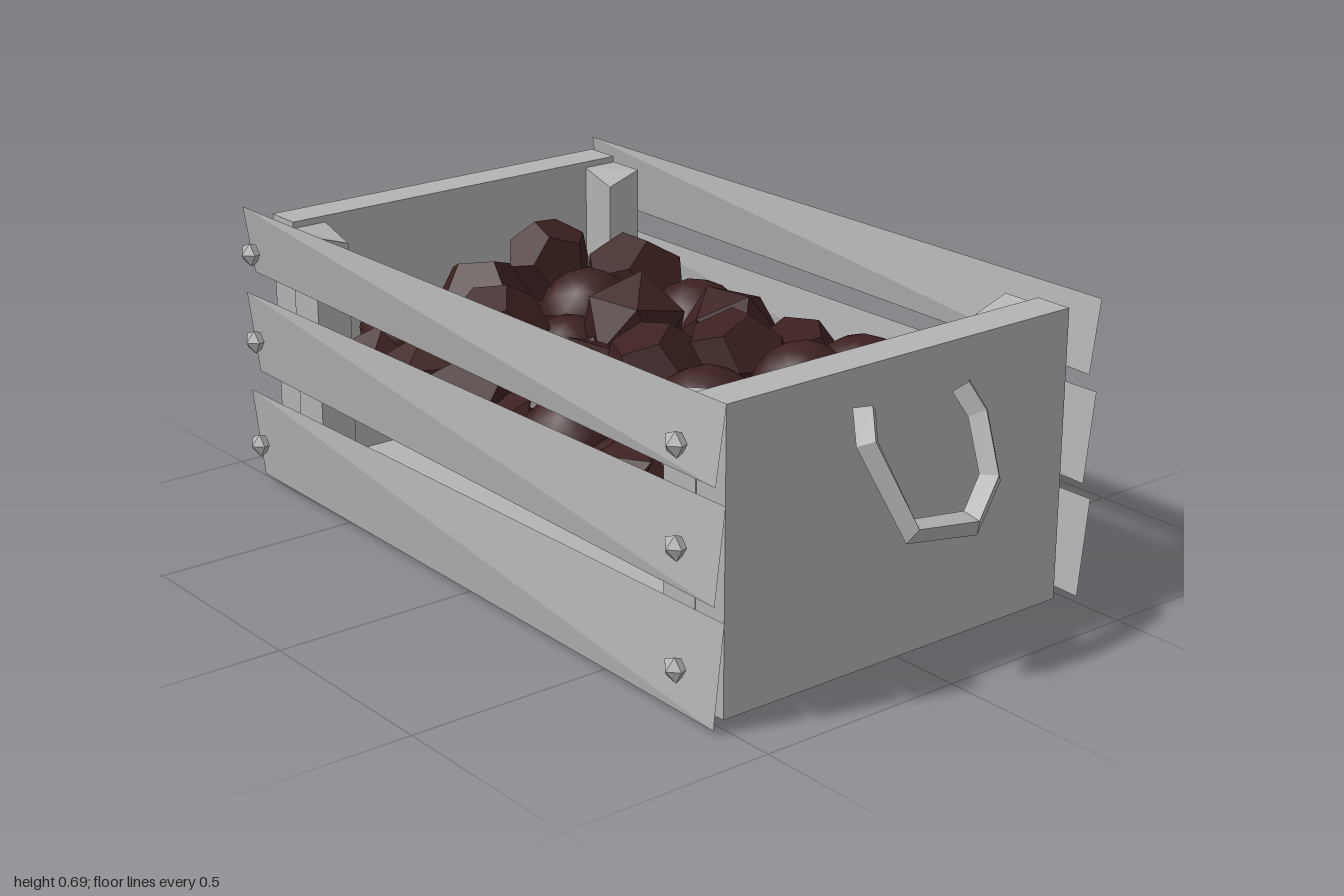
import * as THREE from 'three';

const grey = new THREE.MeshStandardMaterial({ color: 0xb3b3b3 });
grey.name = 'greyWood';
const brown = new THREE.MeshStandardMaterial({ color: 0x3d2020 });
brown.name = 'darkBrown';

// Give every face its own normal
function faceted(geometry) {
  const g = geometry.index ? geometry.toNonIndexed() : geometry;
  g.computeVertexNormals();
  return g;
}

// Move the corners of a geometry by a rule
function reshape(geometry, rule) {
  const p = geometry.attributes.position;
  const v = new THREE.Vector3();
  for (let i = 0; i < p.count; i++) {
    rule(v.fromBufferAttribute(p, i));
    p.setXYZ(i, v.x, v.y, v.z);
  }
  return faceted(geometry);
}

function add(parent, name, geometry, material, x = 0, y = 0, z = 0) {
  const mesh = new THREE.Mesh(geometry, material);
  mesh.name = name;
  mesh.position.set(x, y, z);
  parent.add(mesh);
  return mesh;
}

// Wedge-cut board: ridge from top left to bottom right in front, crossing ridge behind
function slatGeometry(width, height, depth) {
  const [w, h, d] = [width / 2, height / 2, depth / 2];
  const g = new THREE.BufferGeometry();
  g.setAttribute('position', new THREE.Float32BufferAttribute(
    [-w, h, d, w, h, -d, w, -h, d, -w, -h, -d], 3));
  g.setIndex([0, 2, 1, 0, 3, 2, 0, 1, 3, 1, 2, 3]);
  return faceted(g);
}

// One long side: three slats with pointed nails
function makeSide(name) {
  const side = new THREE.Group();
  side.name = name;
  for (const [y0, y1, nailY] of [[0.01, 0.235, 0.125], [0.277, 0.483, 0.387], [0.528, 0.694, 0.603]]) {
    add(side, 'slat', slatGeometry(1.745, y1 - y0, 0.026), grey, 0, (y0 + y1) / 2, 0.52);
    for (const x of [-0.79, 0.79]) {
      const profile = [[0, -0.018], [0.022, -0.014], [0.029, 0.004], [0, 0.022]]
        .map(([r, h]) => new THREE.Vector2(r, h));
      const nail = add(side, 'nail', faceted(new THREE.LatheGeometry(profile, 5)), grey, x, nailY, 0.567);
      nail.rotation.set(Math.PI / 2, 0.4, 0);
    }
  }
  return side;
}

// One short side: panel, bent handle and two corner posts
function makeEnd(s, name) {
  const end = new THREE.Group();
  end.name = name;
  add(end, 'endPanel', new THREE.BoxGeometry(0.091, 0.675, 0.95), grey, s * 0.7885, 0.3375, 0);
  for (const z of [-1, 1]) {
    // the inner top corner of each post is chipped
    const post = reshape(new THREE.BoxGeometry(0.1, 0.6, 0.09), (v) => {
      if (v.y > 0 && v.x * s < 0 && v.z * z < 0) v.y -= 0.03;
    });
    add(end, 'cornerPost', post, grey, s * 0.695, 0.36, z * 0.432);
  }
  const path = [
    [0.85, 0.59, 0.128], [0.885, 0.53, 0.15], [0.965, 0.355, 0.1], [0.975, 0.335, -0.06],
    [0.945, 0.405, -0.142], [0.885, 0.525, -0.16], [0.85, 0.58, -0.142],
  ].map(([x, y, z]) => new THREE.Vector3(s * x, y, z));
  const curve = new THREE.CatmullRomCurve3(path);
  curve.getUtoTmapping = (u) => u; // bends fall exactly on the path points
  add(end, 'handle', faceted(new THREE.TubeGeometry(curve, path.length - 1, 0.029, 4)), grey);
  return end;
}

// Lumps as [x, z, height of centre, radius]
const LUMPS = [
  [-0.51, -0.36, 0.41, 0.13], [-0.27, -0.36, 0.36, 0.125], [-0.05, -0.28, 0.42, 0.12],
  [0.1, -0.36, 0.37, 0.11], [0.33, -0.35, 0.38, 0.125], [0.55, -0.32, 0.41, 0.105],
  [-0.65, -0.2, 0.47, 0.105], [-0.44, -0.16, 0.39, 0.12], [-0.2, -0.11, 0.44, 0.125],
  [0.15, -0.13, 0.44, 0.12], [0.4, -0.11, 0.44, 0.12], [0.62, -0.16, 0.43, 0.115],
  [-0.63, 0.02, 0.41, 0.115], [-0.33, -0.02, 0.34, 0.11], [-0.13, 0.08, 0.36, 0.11],
  [0.07, 0.04, 0.43, 0.115], [0.35, 0.12, 0.41, 0.13], [0.62, 0.08, 0.41, 0.115],
  [-0.41, 0.13, 0.41, 0.12], [-0.62, 0.24, 0.39, 0.12], [-0.21, 0.21, 0.35, 0.11],
  [0.01, 0.23, 0.39, 0.12], [0.22, 0.19, 0.35, 0.11], [-0.39, 0.35, 0.35, 0.115],
  [-0.16, 0.385, 0.35, 0.13], [0.19, 0.36, 0.37, 0.12], [0.38, 0.36, 0.34, 0.11],
  [0.56, 0.3, 0.41, 0.115],
];

function makeContents() {
  const heap = new THREE.Group();
  heap.name = 'lumpHeap';
  const shapes = [
    new THREE.DodecahedronGeometry(1),
    new THREE.IcosahedronGeometry(1, 2),
    new THREE.IcosahedronGeometry(1),
  ];
  const all = [...LUMPS];
  // staggered lower layer filling the gaps
  for (let j = 0; j < 5; j++) {
    for (let i = 0; i < 7; i++) all.push([-0.6 + i * 0.19 + (j % 2) * 0.06, -0.34 + j * 0.17, 0.31, 0.12]);
  }
  all.forEach(([x, z, y, r], i) => {
    const kind = i % 3;
    const lump = add(heap, 'lump', shapes[kind], brown, x, y, z);
    lump.scale.setScalar(r * (kind === 1 ? 1 : 1.06));
    lump.rotation.set(i * 1.7, i * 2.3, i * 0.9);
  });
  return heap;
}

export function createModel() {
  const crate = new THREE.Group();
  crate.name = 'crate';
  add(crate, 'floor', new THREE.BoxGeometry(1.52, 0.06, 0.956), grey, 0, 0.038, 0);
  const back = makeSide('backSide');
  back.rotation.y = Math.PI;
  crate.add(makeSide('frontSide'), back, makeEnd(1, 'leftEnd'), makeEnd(-1, 'rightEnd'), makeContents());
  return crate;
}
